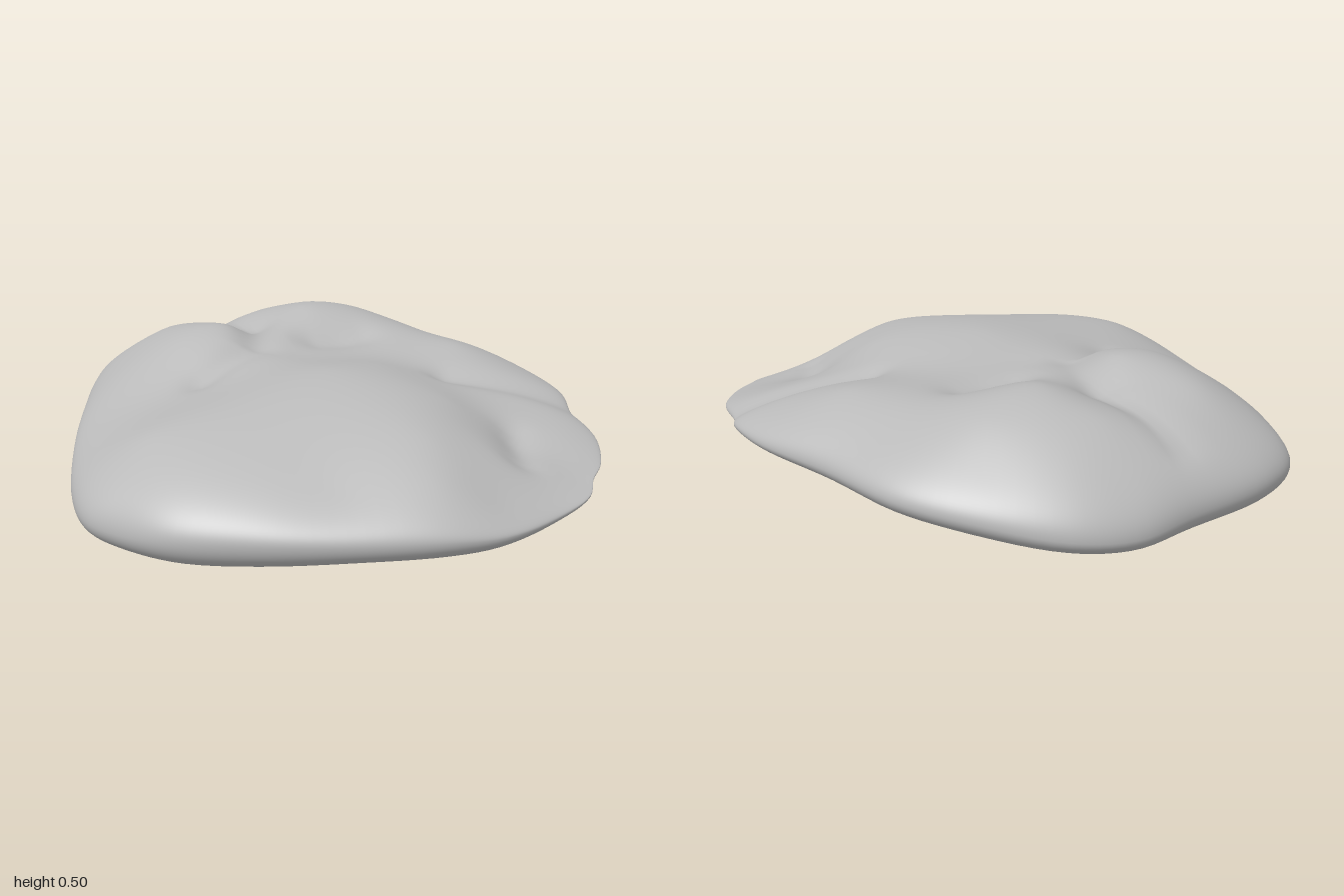
import * as THREE from 'three';

// Rim of the stone: x, height, z, going round from the back
const RIM = [
  [-0.1, 0.2, -1.0], [0.2, 0.2, -0.97], [0.42, 0.19, -0.945], [0.6, 0.21, -0.85], [0.77, 0.25, -0.64],
  [0.865, 0.27, -0.42], [0.875, 0.27, -0.1], [0.905, 0.27, 0.2], [0.87, 0.26, 0.4], [0.805, 0.23, 0.51],
  [0.73, 0.21, 0.69], [0.6, 0.19, 0.83], [0.5, 0.18, 0.89], [0.42, 0.16, 0.95], [0.25, 0.14, 0.98],
  [0.02, 0.14, 0.995], [-0.15, 0.15, 0.95], [-0.4, 0.15, 0.81], [-0.62, 0.15, 0.65], [-0.8, 0.14, 0.46],
  [-0.88, 0.12, 0.27], [-0.91, 0.12, 0.13], [-0.87, 0.13, -0.04], [-0.7, 0.18, -0.37],
  [-0.52, 0.19, -0.66], [-0.41, 0.18, -0.83], [-0.3, 0.19, -0.95],
];
// Heights of the upper and lower faces at a few places: x, y, z
const TOP = [
  [-0.82, 0.27, 0.12], [-0.72, 0.29, 0.38], [-0.66, 0.34, 0.1], [-0.52, 0.29, 0.56], [-0.43, 0.39, 0.15],
  [-0.35, 0.28, 0.68], [-0.25, 0.42, 0.15], [-0.25, 0.39, 0.42], [-0.08, 0.29, 0.83], [0.0, 0.45, 0.13],
  [0.0, 0.42, 0.45], [0.0, 0.36, 0.68], [0.08, 0.22, 0.91], [0.22, 0.43, 0.15], [0.25, 0.38, 0.48],
  [0.2, 0.29, 0.75], [0.38, 0.26, 0.65], [0.56, 0.25, 0.68], [0.62, 0.33, 0.42], [0.38, 0.21, 0.85],
  [0.42, 0.38, 0.22], [0.64, 0.42, 0.08], [0.8, 0.36, 0.2], [0.62, 0.43, -0.18], [0.79, 0.38, -0.2],
  [0.32, 0.42, -0.21], [0.33, 0.5, -0.45], [0.58, 0.465, -0.48], [0.3, 0.45, -0.7], [0.4, 0.35, -0.88],
  [0.68, 0.39, -0.6], [0.13, 0.43, -0.55], [-0.04, 0.49, -0.43], [-0.23, 0.46, -0.42],
  [-0.13, 0.44, -0.7], [-0.1, 0.35, -0.9], [-0.4, 0.34, -0.65], [-0.58, 0.29, -0.35],
  [-0.74, 0.27, -0.1], [-0.3, 0.38, -0.17], [0.08, 0.42, -0.15],
];
const BOTTOM = [
  [-0.82, 0.02, 0.12], [-0.65, 0.005, 0.05], [-0.68, 0.02, 0.4], [-0.5, 0.03, 0.5], [-0.4, 0.02, 0.1],
  [-0.58, 0.06, -0.3], [-0.25, 0.05, 0.7], [0.0, 0.065, 0.1], [0.1, 0.06, 0.85], [0.22, 0.05, 0.65],
  [0.4, 0.1, 0.78], [0.3, 0.08, 0.2], [0.6, 0.14, 0.35], [0.68, 0.17, 0.58], [0.8, 0.19, 0.1],
  [0.58, 0.13, -0.2], [0.75, 0.17, -0.5], [0.2, 0.08, -0.4], [-0.3, 0.07, -0.65], [0.0, 0.09, -0.87],
  [0.4, 0.1, -0.8],
];
// Creases between the lobes: x1, z1, x2, z2, depth, width
const CREASES = [
  [0.15, -0.85, 0.12, -0.5, 0.02, 0.05], [0.12, -0.5, -0.02, -0.27, 0.03, 0.07],
  [-0.02, -0.25, -0.3, -0.19, 0.025, 0.06], [0.24, -0.25, 0.4, -0.2, 0.02, 0.07],
  [0.45, 0.24, 0.8, 0.5, 0.025, 0.06], [0.3, 0.76, 0.42, 0.6, 0.02, 0.06],
];

// Smooth thin-plate surface through scattered heights
function heightField(points) {
  const n = points.length, size = n + 3;
  const kernel = (d2) => (d2 > 0 ? d2 * Math.log(d2) : 0);
  const basis = (x, z) => [...points.map((p) => kernel((x - p[0]) ** 2 + (z - p[2]) ** 2)), 1, x, z];
  const rows = points.map((p) => [...basis(p[0], p[2]), p[1]]);
  for (const f of [() => 1, (p) => p[0], (p) => p[2]]) rows.push([...points.map(f), 0, 0, 0, 0]);
  for (let c = 0; c < size; c++) {
    let pivot = c;
    for (let r = c + 1; r < size; r++) if (Math.abs(rows[r][c]) > Math.abs(rows[pivot][c])) pivot = r;
    [rows[c], rows[pivot]] = [rows[pivot], rows[c]];
    for (let r = 0; r < size; r++) {
      if (r === c) continue;
      const k = rows[r][c] / rows[c][c];
      for (let j = c; j <= size; j++) rows[r][j] -= k * rows[c][j];
    }
  }
  const weights = rows.map((row, i) => row[size] / row[i]);
  return (x, z) => basis(x, z).reduce((sum, b, i) => sum + b * weights[i], 0);
}

function creaseDepth(x, z) {
  let depth = 0;
  for (const [ax, az, bx, bz, d, width] of CREASES) {
    const dx = bx - ax, dz = bz - az;
    const k = THREE.MathUtils.clamp(((x - ax) * dx + (z - az) * dz) / (dx * dx + dz * dz), 0, 1);
    const dist2 = (x - ax - k * dx) ** 2 + (z - az - k * dz) ** 2;
    depth = Math.max(depth, d * Math.exp(-dist2 / (width * width)));
  }
  return depth;
}

// Rings run from the middle of the top, over the rim, to the middle of the underside
function stoneGeometry(sides = 144, half = 48) {
  const curve = new THREE.CatmullRomCurve3(RIM.map((p) => new THREE.Vector3(...p)), true);
  const outline = Array.from({ length: sides }, (_, i) => curve.getPoint(i / sides));
  const top = heightField(TOP), bottom = heightField(BOTTOM);
  const positions = [], index = [];
  const height = (x, z, rimY, t, upper) => {
    const face = upper ? top(x, z) - creaseDepth(x, z) : bottom(x, z);
    return rimY + (face - rimY) * Math.sqrt(Math.max(0, 1 - t ** 12));
  };
  positions.push(0, height(0, 0, 0, 0, true), 0);
  for (let r = 1; r < 2 * half; r++) {
    const t = Math.sin((r / (2 * half)) * Math.PI);
    for (const p of outline) {
      const x = p.x * t, z = p.z * t;
      positions.push(x, r === half ? p.y : height(x, z, p.y, t, r < half), z);
    }
  }
  positions.push(0, height(0, 0, 0, 0, false), 0);
  const last = positions.length / 3 - 1;
  for (let i = 0; i < sides; i++) {
    const j = (i + 1) % sides;
    index.push(0, 1 + j, 1 + i);
    for (let r = 0; r < 2 * half - 2; r++) {
      const a = 1 + r * sides, b = a + sides;
      index.push(a + i, a + j, b + i, a + j, b + j, b + i);
    }
    const end = last - sides;
    index.push(last, end + i, end + j);
  }
  const geometry = new THREE.BufferGeometry();
  geometry.setAttribute('position', new THREE.Float32BufferAttribute(positions, 3));
  geometry.setIndex(index);
  geometry.computeVertexNormals();
  return geometry;
}

export function createModel() {
  const group = new THREE.Group();
  group.name = 'flatRock';
  const stoneGrey = new THREE.MeshStandardMaterial({ color: 0xbababa });
  stoneGrey.name = 'stoneGrey';
  const stone = new THREE.Mesh(stoneGeometry(), stoneGrey);
  stone.name = 'stone';
  group.add(stone);
  return group;
}
